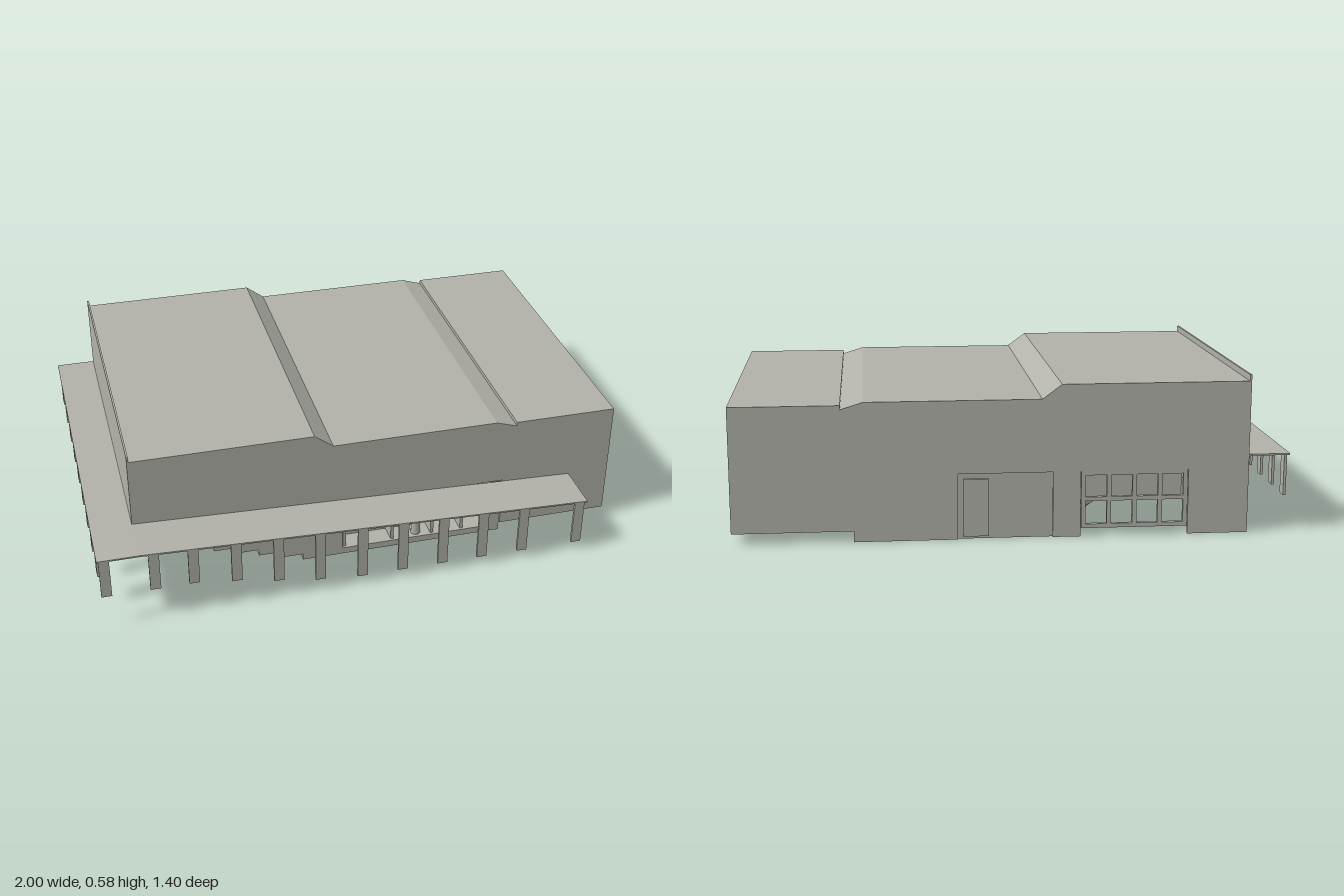
import * as THREE from 'three';

export function createModel() {
  const model = new THREE.Group();
  const stone = new THREE.MeshStandardMaterial({ color: 0xb2b2aa });
  stone.name = 'warm grey';

  const add = (name, geometry) => {
    const mesh = new THREE.Mesh(geometry, stone);
    mesh.name = name;
    model.add(mesh);
    return mesh;
  };
  // Box given by its lower and upper limits
  const block = (name, x0, x1, y0, y1, z0, z1) =>
    add(name, new THREE.BoxGeometry(x1 - x0, y1 - y0, z1 - z0))
      .position.set((x0 + x1) / 2, (y0 + y1) / 2, (z0 + z1) / 2);
  const shapeOf = pts => new THREE.Shape(pts.map(p => new THREE.Vector2(...p)));
  // Outline in x,y pushed along z
  const alongZ = (name, pts, z0, z1) =>
    add(name, new THREE.ExtrudeGeometry(shapeOf(pts), { depth: z1 - z0, bevelEnabled: false }))
      .position.z = z0;
  // Plan outline in x,z raised from y0 to y1
  const raised = (name, pts, y0, y1) => {
    const g = new THREE.ExtrudeGeometry(shapeOf(pts.map(([x, z]) => [x, -z])),
      { depth: y1 - y0, bevelEnabled: false });
    add(name, g.rotateX(-Math.PI / 2)).position.y = y0;
  };

  // Upper hall with its stepped roof and overhanging end
  alongZ('upperHall', [[-0.85, 0.24], [0.57, 0.24], [0.57, 0.04], [1, 0.04], [1, 0.495],
    [0.61, 0.495], [0.61, 0.48], [0.53, 0.505], [-0.1, 0.505], [-0.17, 0.557], [-0.85, 0.557]], -0.7, 0.51);
  block('parapet', -0.85, -0.843, 0.55, 0.58, -0.7, 0.51);

  // Ground floor in layers, its underside rising in curved tiers towards the high end
  const entrance = [[0.53, 0.5], [0.53, 0.42], [-0.06, 0.42], [-0.06, 0.5]];
  const tiers = 5, rise = 0.026;
  for (let i = 0; i < tiers; i++) {
    const t = i + 1;
    const front = new THREE.Vector2(-0.13 - 0.085 * t, 0.5);
    const back = new THREE.Vector2(-0.12 - 0.025 * t, -0.69);
    const bulge = new THREE.Vector2(-0.15 - 0.09 * t, -0.2);
    const edge = new THREE.QuadraticBezierCurve(front, bulge, back).getPoints(12).map(p => [p.x, p.y]);
    const notch = i === 0 ? [] : entrance;
    raised('floorTier', [[0.57, -0.69], [0.57, 0.5], ...notch, ...edge], i * rise, t * rise);
  }
  raised('groundFloorWalls', [[0.57, -0.69], [0.57, 0.5], ...entrance, [-0.85, 0.5], [-0.85, -0.69],
    [-0.62, -0.69], [-0.62, -0.63], [-0.25, -0.63], [-0.25, -0.69]], tiers * rise, 0.245);

  // Rear glazing frame, end panel and doors
  for (let i = 0; i <= 4; i++) {
    const x = -0.62 + i * 0.0925;
    block('windowPost', x - 0.008, x + 0.008, 0.03, 0.24, -0.7, -0.685);
  }
  for (const y of [0.03, 0.13, 0.225])
    block('windowRail', -0.62, -0.25, y, y + 0.015, -0.7, -0.685);
  block('rearPanel', -0.85, -0.63, 0, 0.25, -0.7, -0.69);
  block('rearPanel', -0.24, -0.14, 0, 0.24, -0.7, -0.69);
  block('rearDoor', 0.09, 0.18, 0.01, 0.22, -0.7, -0.69);
  block('rearPanel', 0.2, 0.57, 0, 0.25, -0.7, -0.69);

  // Entrance columns and door frames
  const column = add('entranceColumn', new THREE.CylinderGeometry(0.018, 0.018, 0.22, 16));
  column.position.set(0.24, 0.135, 0.47);
  for (const x of [-0.05, 0.14, 0.3, 0.42])
    block('doorFrame', x - 0.006, x + 0.006, 0.02, 0.24, 0.41, 0.49);

  // Canopy: level along the side, sloping down along the front
  const roofY = x => 0.29 - 0.065 * Math.max(0, x + 0.85) / 1.69;
  alongZ('frontCanopy', [[-1, 0.284], [-0.85, 0.284], [0.84, 0.219], [0.84, 0.225],
    [-0.85, 0.29], [-1, 0.29]], 0.51, 0.7);
  block('sideCanopy', -1, -0.85, 0.284, 0.29, -0.7, 0.51);

  // Front posts, following the rising ground
  const posts = [[-0.975, 0.13], [-0.8, 0.13], [-0.66, 0.13], [-0.505, 0.11], [-0.35, 0.08],
    [-0.195, 0.055], [-0.035, 0.04], [0.12, 0.04], [0.275, 0.04], [0.43, 0.04], [0.59, 0.04], [0.81, 0.04]];
  for (const [x, y] of posts)
    block('frontPost', x - 0.019, x + 0.019, y, roofY(x) - 0.003, 0.688, 0.698);

  // Side posts
  for (let i = 0; i < 9; i++) {
    const z = 0.557 - i * 0.152;
    block('sidePost', -0.995, -0.985, 0.13, 0.287, z - 0.021, z + 0.021);
  }
  return model;
}
